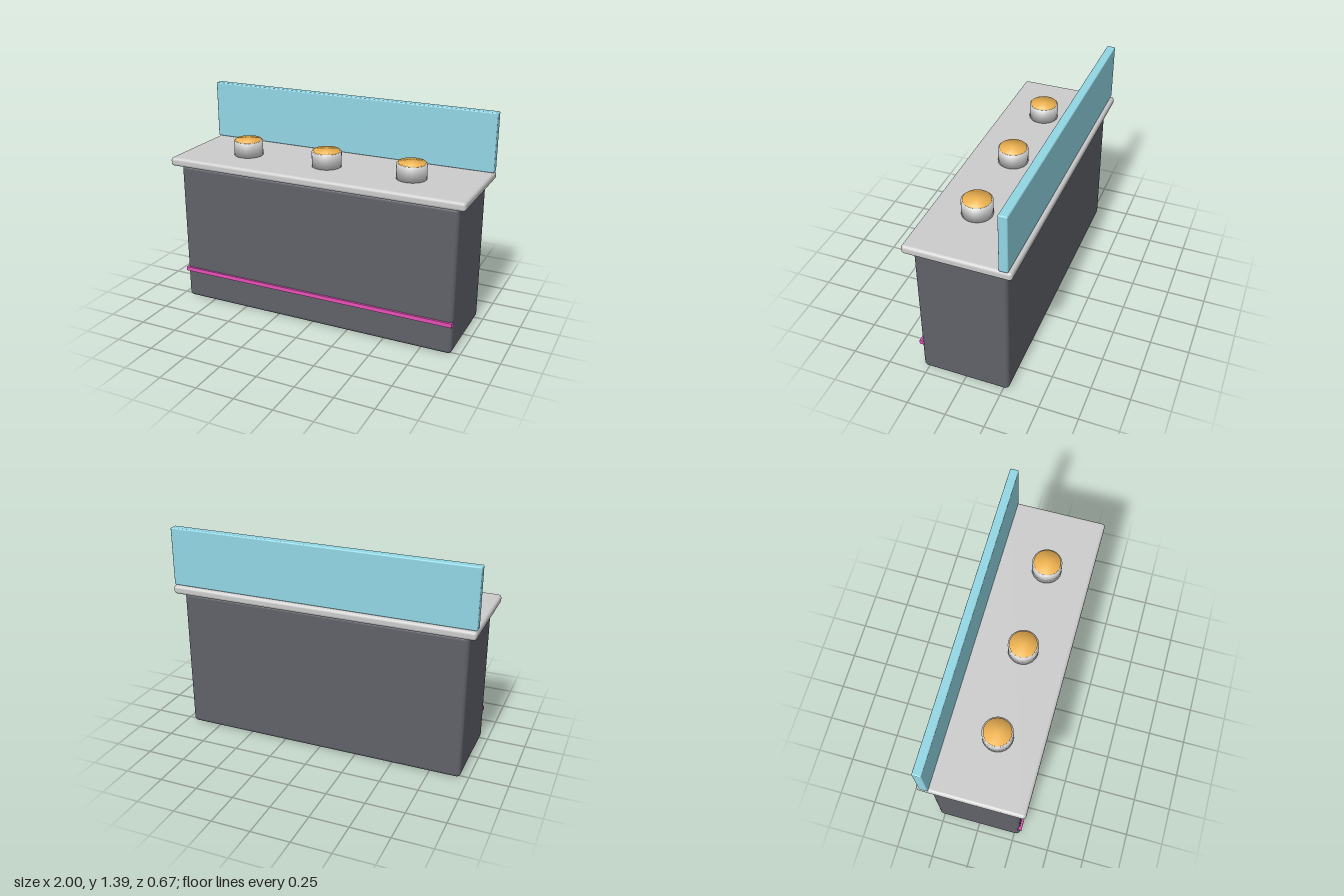
import * as THREE from 'three';
import { RoundedBoxGeometry } from 'three/addons/geometries/RoundedBoxGeometry.js';

const mat = (color) => new THREE.MeshStandardMaterial({ color });
const steel = mat(0xcccccc);
const dark = mat(0x5f6269);
const glass = mat(0x92d6e4);
const gold = mat(0xf2b552);
const pink = mat(0xe650b8);

function add(group, name, geometry, material, x, y, z) {
  const mesh = new THREE.Mesh(geometry, material);
  mesh.name = name;
  mesh.position.set(x, y, z);
  group.add(mesh);
  return mesh;
}

// Cylinder whose shading blends softly from the side over the rims
function softCylinder(radius, height) {
  const g = new THREE.CylinderGeometry(radius, radius, height, 40);
  const p = g.attributes.position;
  const n = new THREE.Vector3();
  for (let i = 0; i < p.count; i++) {
    n.set(p.getX(i) / radius, Math.sign(p.getY(i)), p.getZ(i) / radius).normalize();
    g.attributes.normal.setXYZ(i, n.x, n.y, n.z);
  }
  return g;
}

export function createModel() {
  const model = new THREE.Group();
  model.name = 'servingCounter';

  // Cabinet and overhanging worktop
  add(model, 'cabinet', new RoundedBoxGeometry(1.9, 0.955, 0.57, 4, 0.028), dark, 0, 0.4775, 0);
  add(model, 'worktop', new RoundedBoxGeometry(2, 0.057, 0.666, 4, 0.02), steel, 0, 0.9835, 0);

  // Upright screen along the back edge
  add(model, 'backScreen', new RoundedBoxGeometry(2, 0.382, 0.056, 3, 0.008), glass, 0, 1.203, -0.284);

  // Accent strip across the front
  add(model, 'accentStrip', new THREE.BoxGeometry(1.9, 0.027, 0.03), pink, 0, 0.208, 0.284);

  // Three pots, each with a thin filled top
  const potGeometry = softCylinder(0.095, 0.096);
  const fillGeometry = softCylinder(0.086, 0.02);
  for (const x of [-0.572, 0, 0.572]) {
    const pot = new THREE.Group();
    pot.name = 'pot';
    pot.position.set(x, 1.012, 0.047);
    add(pot, 'potBody', potGeometry, steel, 0, 0.048, 0);
    add(pot, 'potFilling', fillGeometry, gold, 0, 0.095, 0);
    model.add(pot);
  }
  return model;
}
